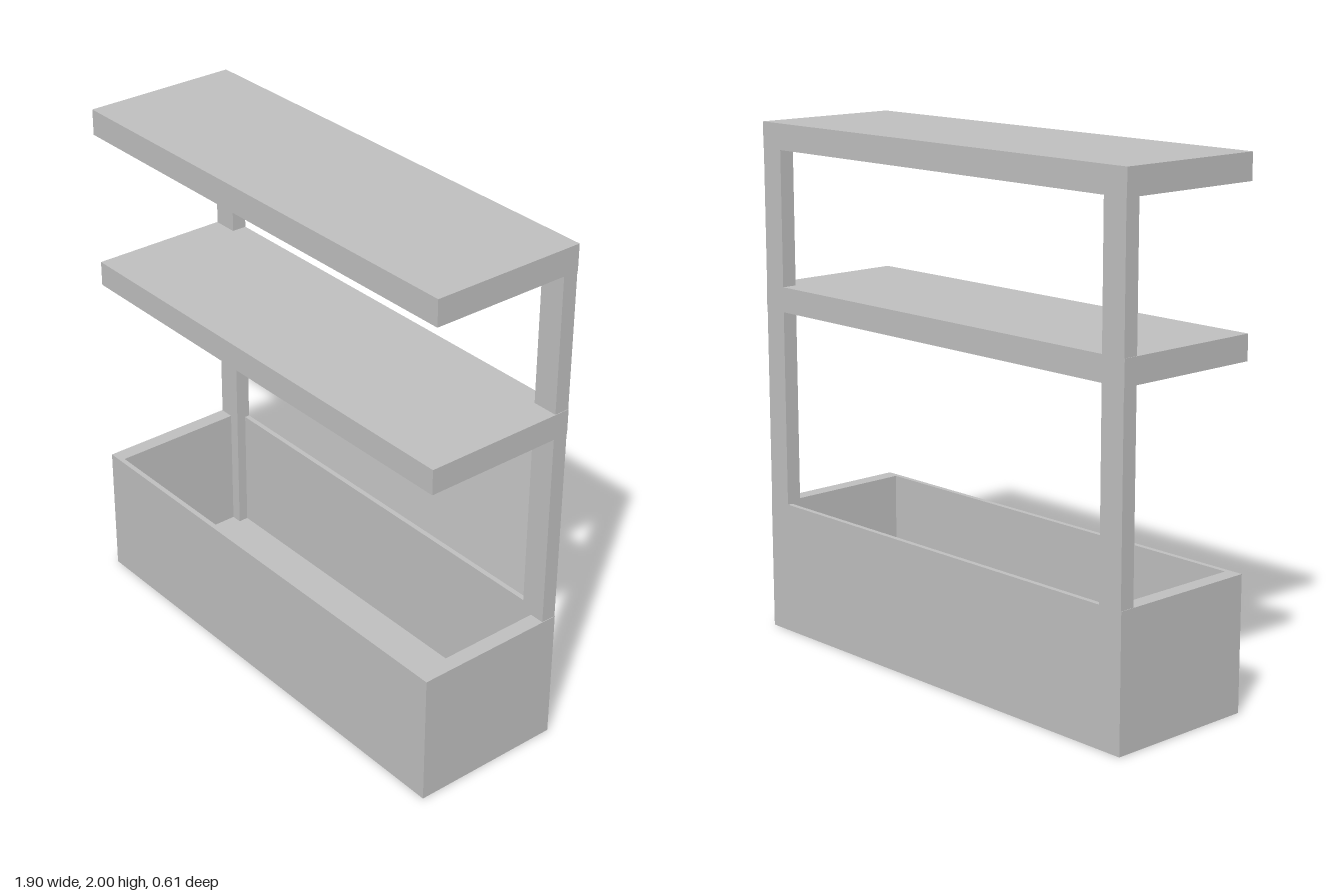
import * as THREE from 'three';

const WIDTH = 1.9, DEPTH = 0.61;

export function createModel() {
  const model = new THREE.Group();
  model.name = 'planterShelf';
  const grey = new THREE.MeshStandardMaterial({ color: 0xbebebe });
  grey.name = 'lightGrey';

  // Box given by its lower and upper limits on each axis
  function addBox(name, [x0, x1], [y0, y1], [z0, z1], parent = model) {
    const mesh = new THREE.Mesh(new THREE.BoxGeometry(x1 - x0, y1 - y0, z1 - z0), grey);
    mesh.position.set((x0 + x1) / 2, (y0 + y1) / 2, (z0 + z1) / 2);
    mesh.name = name;
    parent.add(mesh);
  }

  const hx = WIDTH / 2, hz = DEPTH / 2;

  // Open trough: thick end walls, thin front and back, hollow inside
  const trough = new THREE.Group();
  trough.name = 'trough';
  model.add(trough);
  const rim = 0.517, floor = 0.02, end = 0.06, panel = 0.02;
  addBox('troughFloor', [-hx, hx], [0, floor], [-hz, hz], trough);
  addBox('rightEndWall', [-hx, -hx + end], [floor, rim], [-hz, hz], trough);
  addBox('leftEndWall', [hx - end, hx], [floor, rim], [-hz, hz], trough);
  addBox('frontPanel', [-hx + end, hx - end], [floor, rim], [hz - panel, hz], trough);
  addBox('backPanel', [-hx + end, hx - end], [floor, rim], [-hz, -hz + panel], trough);

  // Shelves
  const middle = [1.28, 1.377], top = [1.9, 2];
  addBox('middleShelf', [-hx, hx], middle, [-hz, hz]);
  addBox('topShelf', [-hx, hx], top, [-hz, hz]);

  // Rear posts: inside the trough, then up between the shelves
  const postZ = [-hz, -hz + 0.06];
  for (const [side, s] of [['right', -1], ['left', 1]]) {
    const span = (inner, outer) => [s * inner, s * outer].sort((a, b) => a - b);
    addBox(side + 'PostFoot', span(0.847, hx - end), [floor, rim], [-hz + panel, postZ[1]]);
    addBox(side + 'LowerPost', span(0.847, 0.948), [rim, middle[0]], postZ);
    addBox(side + 'UpperPost', span(0.847, 0.948), [middle[1], top[0]], postZ);
  }
  return model;
}
